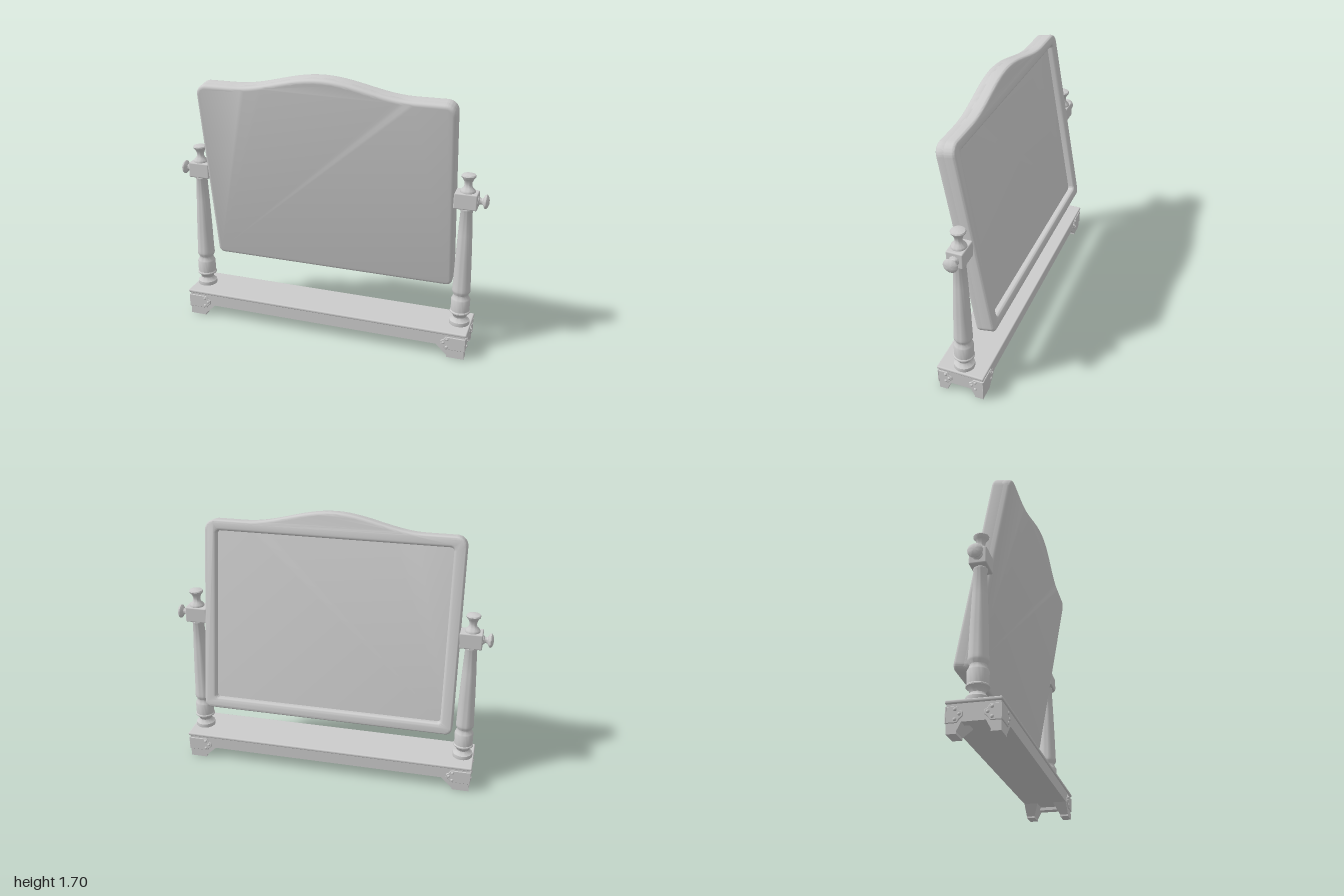
import * as THREE from 'three';
import { toCreasedNormals } from 'three/addons/utils/BufferGeometryUtils.js';
import { RoundedBoxGeometry } from 'three/addons/geometries/RoundedBoxGeometry.js';

const grey = new THREE.MeshStandardMaterial({ color: 0xcccccc });

function add(parent, name, geometry, x = 0, y = 0, z = 0) {
  const mesh = new THREE.Mesh(geometry, grey);
  mesh.name = name;
  mesh.position.set(x, y, z);
  parent.add(mesh);
  return mesh;
}

// Turned part: profile of [radius, height] pairs
function turned(profile) {
  const pts = profile.map(([r, y]) => new THREE.Vector2(r, y));
  return toCreasedNormals(new THREE.LatheGeometry(pts, 36), 0.6);
}

// Frame outline: rounded corners and a gentle arch along the top
function frameOutline() {
  const s = new THREE.Shape();
  const w = 0.8, b = -0.61, t = 0.61, r = 0.04, R = 0.065;
  s.moveTo(-w + r, b);
  s.lineTo(w - r, b);
  s.absarc(w - r, b + r, r, -Math.PI / 2, 0);
  s.lineTo(w, t - R);
  s.absarc(w - R, t - R, R, 0, Math.PI / 2);
  const half = 0.56, n = 40;
  for (let i = 0; i <= n; i++) {
    const x = half - (2 * half * i) / n;
    s.lineTo(x, t + 0.045 * (1 + Math.cos((Math.PI * x) / half)));
  }
  s.lineTo(-w + R, t);
  s.absarc(-w + R, t - R, R, Math.PI / 2, Math.PI);
  s.lineTo(-w, b + r);
  s.absarc(-w + r, b + r, r, Math.PI, Math.PI * 1.5);
  return s;
}

function frameOpening() {
  const p = new THREE.Path();
  const w = 0.725, b = -0.54, t = 0.545, r = 0.02;
  p.moveTo(-w + r, b);
  p.lineTo(w - r, b);
  p.absarc(w - r, b + r, r, -Math.PI / 2, 0);
  p.absarc(w - r, t - r, r, 0, Math.PI / 2);
  p.absarc(-w + r, t - r, r, Math.PI / 2, Math.PI);
  p.absarc(-w + r, b + r, r, Math.PI, Math.PI * 1.5);
  return p;
}

// Extrusion between z0 and z1 with rounded edges kept inside the outline
function softExtrude(shape, z0, z1, bevel) {
  const g = new THREE.ExtrudeGeometry(shape, {
    depth: z1 - z0 - 2 * bevel, bevelEnabled: true, bevelThickness: bevel,
    bevelSize: bevel, bevelOffset: -bevel, bevelSegments: 4, curveSegments: 8,
  });
  g.translate(0, 0, z0 + bevel);
  return toCreasedNormals(g, 0.6);
}

// Tapered foot: wide where it meets the beam, narrow on the ground
function footGeometry() {
  const g = new THREE.BoxGeometry(1, 1, 1, 1, 2, 1).toNonIndexed();
  const p = g.attributes.position;
  for (let i = 0; i < p.count; i++) {
    const level = p.getY(i); // -0.5 ground, 0 ankle, 0.5 top
    const top = level > 0.25;
    const y = top ? 0.085 : level < -0.25 ? 0 : 0.012;
    const x = p.getX(i) > 0 ? 0.932 : top ? 0.75 : 0.825;
    const z = p.getZ(i) > 0 ? 0.141 : top ? 0.05 : 0.088;
    p.setXYZ(i, x, y, z);
  }
  g.computeVertexNormals();
  return g;
}

// Pointed corner plate with three rivets; local x runs away from the corner
function cornerPlate(length) {
  const plate = new THREE.Group();
  plate.name = 'cornerPlate';
  const s = new THREE.Shape();
  const outline = [[0, 0.055], [length - 0.03, 0.055], [length - 0.016, 0.075], [length, 0.088],
    [length, 0.112], [length - 0.016, 0.122], [length - 0.03, 0.142], [0, 0.142]];
  s.setFromPoints(outline.map(([x, y]) => new THREE.Vector2(x, y)));
  add(plate, 'plate', new THREE.ExtrudeGeometry(s, {
    depth: 0.004, bevelThickness: 0.003, bevelSize: 0.003, bevelOffset: -0.003, bevelSegments: 1,
  }));
  for (const [x, y] of [[length - 0.04, 0.125], [length - 0.018, 0.1], [length - 0.04, 0.073]]) {
    add(plate, 'rivet', new THREE.SphereGeometry(0.0095, 12, 8), x, y, 0.007).scale.z = 0.8;
  }
  return plate;
}

function buildBase() {
  const base = new THREE.Group();
  base.name = 'base';
  add(base, 'beam', new THREE.BoxGeometry(1.864, 0.085, 0.282), 0, 0.1225, 0);
  add(base, 'beamTop', new RoundedBoxGeometry(1.885, 0.02, 0.298, 3, 0.008), 0, 0.166, 0);
  const foot = footGeometry();
  for (const sx of [1, -1]) {
    add(base, 'endBoard', new THREE.BoxGeometry(0.06, 0.05, 0.2), sx * 0.902, 0.085, 0);
    for (const sz of [1, -1]) {
      const corner = new THREE.Group();
      corner.name = 'footCorner';
      corner.scale.set(sx, 1, sz);
      add(corner, 'foot', foot);
      // Plate on the long side
      const side = cornerPlate(0.155);
      side.scale.x = -1;
      side.position.set(0.939, 0, 0.14);
      corner.add(side);
      // Plate on the end
      const end = cornerPlate(0.092);
      end.rotation.y = Math.PI / 2;
      end.position.set(0.931, 0, 0.147);
      corner.add(end);
      base.add(corner);
    }
  }
  return base;
}

function buildPost(sx) {
  const post = new THREE.Group();
  post.name = sx > 0 ? 'leftPost' : 'rightPost';
  post.position.x = sx * 0.87;
  add(post, 'column', turned([
    [0, 0.17], [0.062, 0.17], [0.064, 0.185], [0.062, 0.2], [0.046, 0.213], [0.041, 0.225],
    [0.046, 0.24], [0.063, 0.257], [0.063, 0.264], [0.058, 0.27], [0.059, 0.345], [0.055, 0.353],
    [0.047, 0.368], [0.046, 0.38], [0.056, 0.398], [0.057, 0.41], [0.055, 0.425],
    [0.05, 0.6], [0.043, 0.78], [0.036, 0.925], [0.04, 0.935], [0.04, 0.945], [0.034, 0.952], [0, 0.955],
  ]));
  add(post, 'pivotBlock', new RoundedBoxGeometry(0.14, 0.1, 0.1, 3, 0.008), -sx * 0.005, 1, 0);
  add(post, 'finial', turned([
    [0.045, 1.045], [0.046, 1.055], [0.042, 1.064], [0.028, 1.078], [0.022, 1.095], [0.024, 1.112],
    [0.032, 1.13], [0.042, 1.142], [0.044, 1.15], [0.04, 1.157], [0.022, 1.162], [0, 1.164],
  ]));
  // Clamp knob pointing outward
  const knob = add(post, 'clampKnob', turned([
    [0.03, 0], [0.03, 0.006], [0.02, 0.014], [0.017, 0.024], [0.02, 0.032], [0.036, 0.04],
    [0.043, 0.047], [0.043, 0.053], [0.034, 0.061], [0.018, 0.067], [0, 0.069],
  ]), sx * 0.061, 1, 0);
  knob.rotation.z = -sx * Math.PI / 2;
  return post;
}

function buildMirror() {
  const mirror = new THREE.Group();
  mirror.name = 'tiltingMirror';
  mirror.position.y = 1;
  mirror.rotation.x = THREE.MathUtils.degToRad(9.9);
  // Solid panel, with the raised rim around the recessed face
  add(mirror, 'panel', softExtrude(frameOutline(), -0.021, 0.052, 0.02));
  const rim = frameOutline();
  rim.holes.push(frameOpening());
  add(mirror, 'rim', softExtrude(rim, -0.063, 0.028, 0.018));
  return mirror;
}

export function createModel() {
  const model = new THREE.Group();
  model.name = 'tabletopMirror';
  model.add(buildBase(), buildPost(1), buildPost(-1), buildMirror());
  return model;
}
